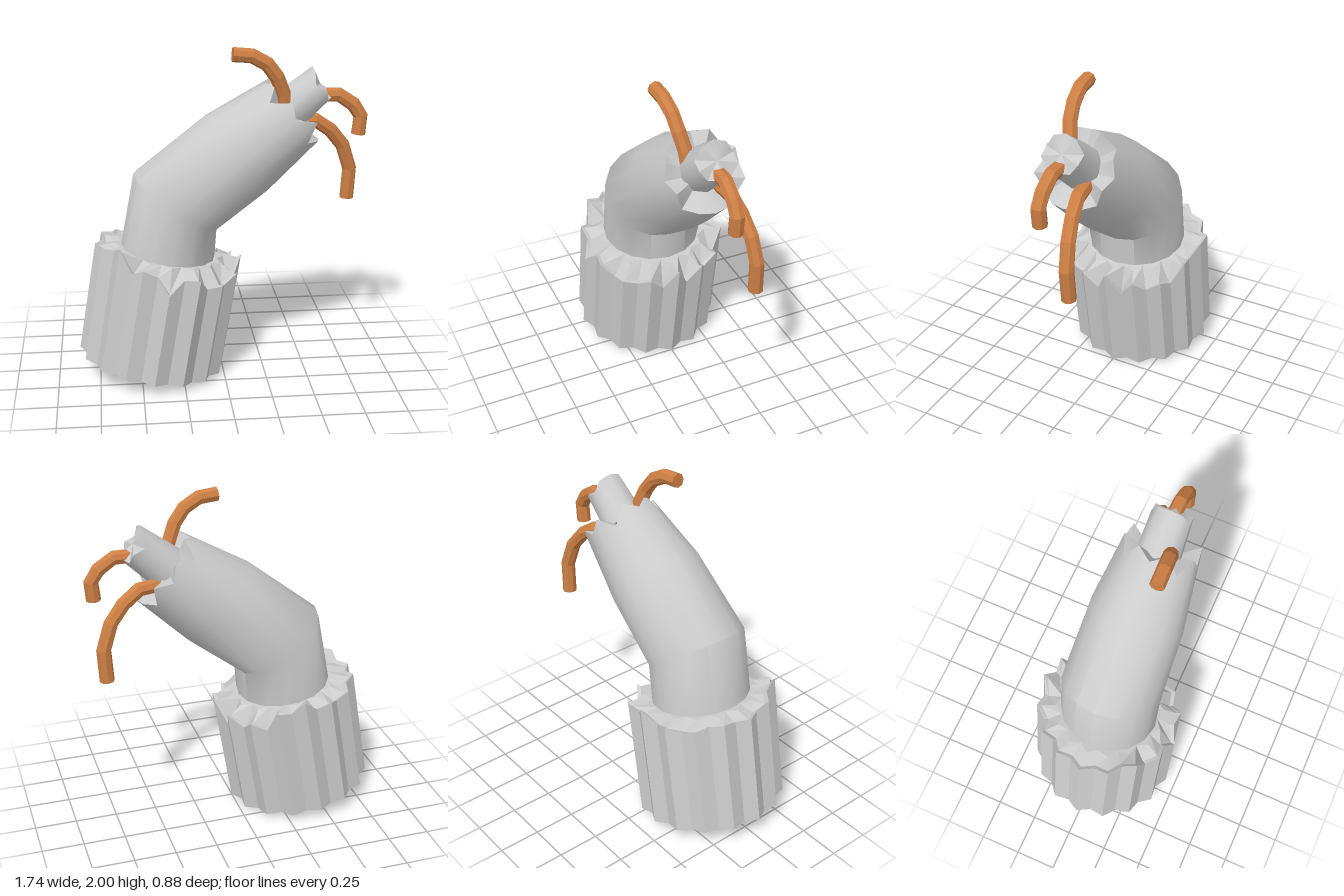
import * as THREE from 'three';
import { toCreasedNormals } from 'three/addons/utils/BufferGeometryUtils.js';

const V = (x, y, z = 0) => new THREE.Vector3(x, y, z);

// Skin a list of equal-length rings and close both ends with fans
function loft(rings, crease) {
  const n = rings[0].length, pos = [], index = [];
  rings.forEach((r) => r.forEach((p) => pos.push(p.x, p.y, p.z)));
  for (let k = 0; k < rings.length - 1; k++) {
    for (let i = 0; i < n; i++) {
      const a = k * n + i, b = k * n + (i + 1) % n;
      index.push(a, b, b + n, a, b + n, a + n);
    }
  }
  [0, rings.length - 1].forEach((k) => {
    const c = V(0, 0);
    rings[k].forEach((p) => c.addScaledVector(p, 1 / n));
    const ci = pos.length / 3;
    pos.push(c.x, c.y, c.z);
    for (let i = 0; i < n; i++) {
      const a = k * n + i, b = k * n + (i + 1) % n;
      if (k === 0) index.push(ci, b, a);
      else index.push(ci, a, b);
    }
  });
  const g = new THREE.BufferGeometry();
  g.setAttribute('position', new THREE.Float32BufferAttribute(pos, 3));
  g.setIndex(index);
  return toCreasedNormals(g, crease);
}

// Ring around an axis lying in the xy plane; offset(i) shifts a point along the axis
function ring(x, y, angle, rUp, rSide, n, offset = () => 0) {
  const c = Math.cos(angle), s = Math.sin(angle);
  return Array.from({ length: n }, (_, i) => {
    const t = (i / n) * Math.PI * 2, up = Math.cos(t) * rUp, o = offset(i);
    return V(x - s * up + c * o, y + c * up + s * o, Math.sin(t) * rSide);
  });
}

export function createModel() {
  const model = new THREE.Group();
  const add = (name, geometry, color = 0xcccccc, flatShading = false) => {
    const material = new THREE.MeshStandardMaterial({ color, flatShading, side: THREE.DoubleSide });
    const mesh = new THREE.Mesh(geometry, material);
    mesh.name = name;
    model.add(mesh);
    return mesh;
  };

  // Ribbed outer sheath with a torn rim, leaning towards +x
  const rim = [
    0.72, 0.565, 0.66, 0.6, 0.62, 0.6, 0.67, 0.66, 0.57, 0.66, 0.69, 0.64, 0.77, 0.73, 0.71, 0.68,
    0.68, 0.68, 0.7, 0.69, 0.68, 0.66, 0.7, 0.68, 0.77, 0.7, 0.73, 0.6, 0.66, 0.6, 0.68, 0.565,
  ];
  const N = rim.length;
  const ribRing = (inset, height) => Array.from({ length: N }, (_, i) => {
    const t = (i / N) * Math.PI * 2, r = (i % 2 ? 0.405 : 0.442) - inset;
    return V(r * Math.cos(t), height(rim[(N - i) % N]), -r * Math.sin(t));
  });
  const sheath = add('outerSheath', loft([
    ribRing(0, () => 0),
    ribRing(0, (h) => h),
    ribRing(0.025, (h) => h * 0.85 + 0.09),
    ribRing(0.11, () => 0.7),
  ], 0.3), 0xcccccc, true);
  sheath.position.set(-0.435, 0.073, 0);
  sheath.rotation.z = -0.165;

  // Bent inner jacket with a torn end around a shallow recess
  const tear = [-0.03, 0.03, -0.07, 0.03, -0.02, 0.07, -0.05, 0, 0.01, -0.01, -0.05, 0.05, -0.02, 0.03, -0.07, 0.03];
  const M = tear.length;
  add('innerJacket', loft([
    ring(-0.337, 0.66, 1.406, 0.29, 0.3, M),
    ring(-0.275, 1.07, 0.963, 0.3, 0.3, M),
    ring(0.09, 1.355, 0.69, 0.29, 0.285, M),
    ring(0.42, 1.6, 0.69, 0.235, 0.225, M, (i) => tear[i]),
    ring(0.42, 1.6, 0.69, 0.14, 0.13, M, (i) => tear[i] * 0.4 - 0.02),
  ], 0.75));

  // Insulated stub poking out of the jacket, snapped unevenly
  const snap = [0.03, 0.02, -0.03, 0, -0.03, 0.03, -0.03, 0.0, -0.03, 0.02];
  add('stub', loft([
    ring(0.39, 1.6, 0.72, 0.13, 0.13, 10),
    ring(0.58, 1.76, 0.72, 0.11, 0.12, 10, (i) => snap[i]),
  ], 0.75));

  // Curled copper strands
  const strands = {
    upperStrand: [V(0.37, 1.62, 0.07), V(0.35, 1.72, 0.08), V(0.31, 1.82, 0.1), V(0.25, 1.9, 0.11), V(0.16, 1.95, 0.12), V(0.05, 1.96, 0.125)],
    middleStrand: [V(0.5, 1.69, 0), V(0.69, 1.69, 0), V(0.78, 1.63, 0), V(0.825, 1.56, 0), V(0.815, 1.45, 0)],
    lowerStrand: [V(0.42, 1.53, -0.07), V(0.57, 1.52, -0.09), V(0.67, 1.45, -0.11), V(0.75, 1.35, -0.13), V(0.8, 1.2, -0.145), V(0.79, 1.01, -0.15)],
  };
  const up = V(0, 0, 1);
  for (const [name, path] of Object.entries(strands)) {
    const rings = path.map((p, k) => {
      const before = path[Math.max(k - 1, 0)], after = path[Math.min(k + 1, path.length - 1)];
      const d = after.clone().sub(before).normalize();
      const u = up.clone().cross(d).normalize(), v = d.clone().cross(u);
      return Array.from({ length: 8 }, (_, i) => {
        const t = (i / 8) * Math.PI * 2;
        return p.clone().addScaledVector(u, 0.043 * Math.cos(t)).addScaledVector(v, 0.043 * Math.sin(t));
      });
    });
    add(name, loft(rings, 0.3), 0xcd7f45, true);
  }
  return model;
}
